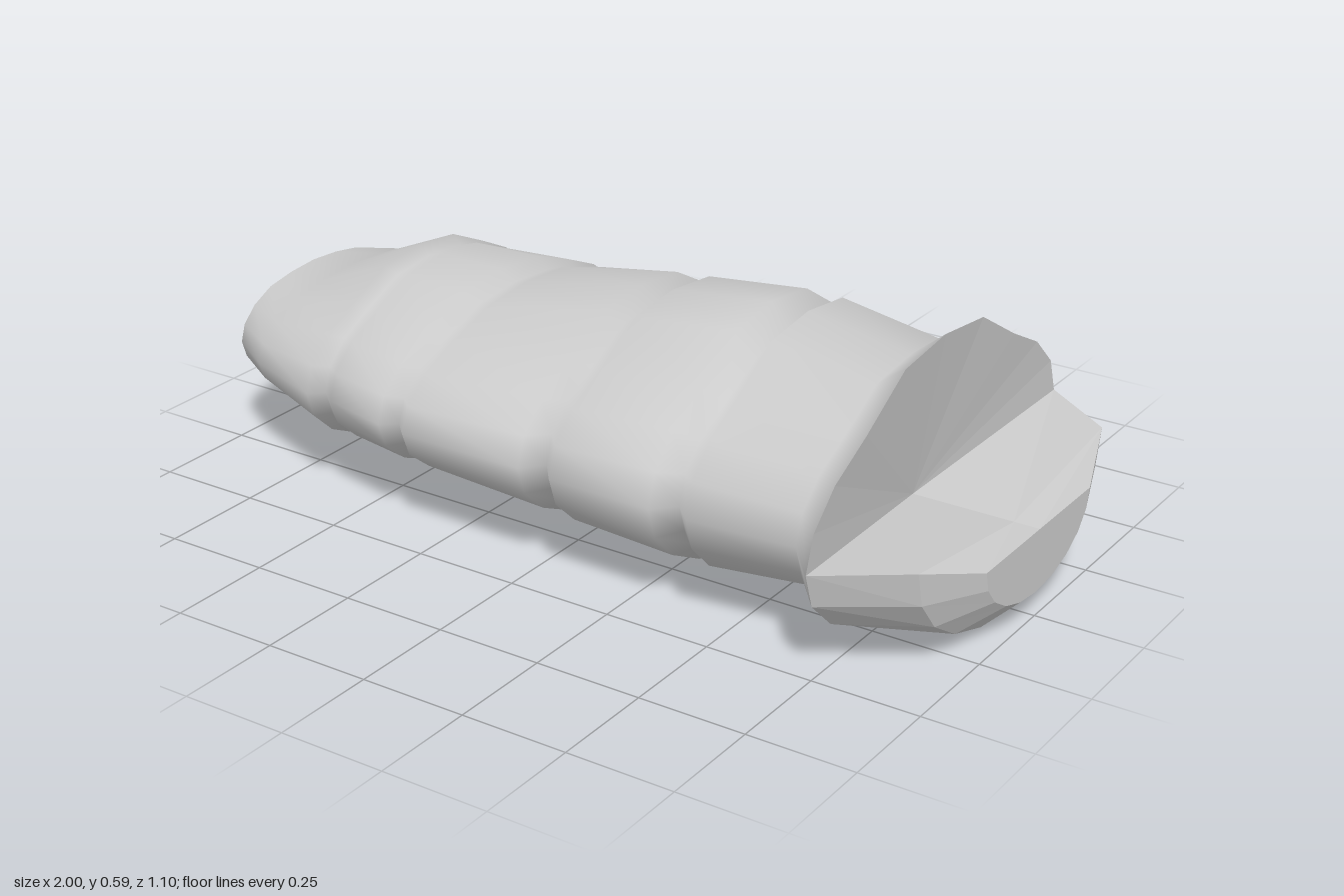
import * as THREE from 'three';

const SIDES = 20;
const MID = 0.265; // height of the widest line

// Body sections: x, half width, bottom, top
const SECTIONS = [
  [-0.96, 0.27, 0.135, 0.388], [-0.84, 0.345, 0.125, 0.402],
  [-0.63, 0.42, 0.065, 0.495], [-0.6, 0.39, 0.08, 0.475], [-0.56, 0.42, 0.07, 0.487],
  [-0.39, 0.46, 0.07, 0.485], [-0.355, 0.43, 0.09, 0.46], [-0.315, 0.47, 0.075, 0.472],
  [0, 0.47, 0.045, 0.532], [0.04, 0.42, 0.06, 0.503], [0.085, 0.475, 0.04, 0.54],
  [0.34, 0.478, 0.02, 0.568], [0.385, 0.43, 0.055, 0.508], [0.43, 0.475, 0.02, 0.567],
  [0.68, 0.455, 0.05, 0.525], [0.76, 0.55, 0.003, 0.59],
];

// Point on an ellipse; step 0 is the top, rising steps go towards +z and down
function ringPoint(x, halfWidth, midY, height, step) {
  const a = (step / SIDES) * Math.PI * 2;
  return [x, midY + height * Math.cos(a), halfWidth * Math.sin(a)];
}

// Elliptical section with a raised ridge along the back
function bodyRing([x, halfWidth, bottom, top]) {
  const ridge = top - (2 * MID - bottom);
  return Array.from({ length: SIDES }, (_, j) => {
    const p = ringPoint(x, halfWidth, MID, MID - bottom, j);
    p[1] += ridge * ([1, 0.9, 0.06][Math.min(j, SIDES - j)] ?? 0);
    return p;
  });
}

// Half-ellipse bowl section closed by a centre point
function lipRing(x, halfWidth, rimY, height, centreX) {
  const ring = [[centreX, 0.207, 0]];
  for (let j = SIDES / 4; j <= (SIDES * 3) / 4; j++) ring.push(ringPoint(x, halfWidth, rimY, height, j));
  return ring;
}

function toGeometry(points, index) {
  const g = new THREE.BufferGeometry();
  g.setAttribute('position', new THREE.Float32BufferAttribute(points.flat(), 3));
  g.setIndex(index);
  g.computeVertexNormals();
  return g;
}

// Skin over closed rings ordered along +x
function loft(rings) {
  const n = rings[0].length, index = [];
  for (let i = 0; i < rings.length - 1; i++) {
    for (let j = 0; j < n; j++) {
      const a = i * n + j, b = i * n + ((j + 1) % n);
      index.push(a, b, b + n, a, b + n, a + n);
    }
  }
  return toGeometry(rings.flat(), index);
}

// Triangle fan; faces +x for points running in ring order
function fan(centre, points) {
  const index = [];
  for (let j = 1; j < points.length; j++) index.push(0, j, j + 1);
  return toGeometry([centre, ...points], index);
}

export function createModel() {
  const model = new THREE.Group();
  const smooth = new THREE.MeshStandardMaterial({ color: 0xcccccc, side: THREE.DoubleSide });
  const faceted = smooth.clone();
  faceted.flatShading = true;

  function add(name, geometry, material) {
    const mesh = new THREE.Mesh(geometry, material);
    mesh.name = name;
    model.add(mesh);
  }

  // Grooved body
  const rings = SECTIONS.map(bodyRing);
  add('body', loft(rings), smooth);

  // Shallow pointed tail cap
  const tail = [...rings[0], rings[0][0]].reverse();
  add('tailCap', fan([-1, 0.2, 0], tail), faceted);

  // Upper wall inside the flared mouth
  const mouth = rings[rings.length - 1], q = SIDES / 4;
  const upper = [...mouth.slice(SIDES - q), ...mouth.slice(0, q + 1)];
  add('mouthWall', fan([0.7, 0.207, 0], upper), faceted);

  // Scooped lower lip and its blunt tip
  const lip = [
    lipRing(0.76, 0.55, MID, MID - 0.003, 0.7),
    lipRing(0.94, 0.42, MID, MID - 0.003, 0.94),
    lipRing(1, 0.24, 0.207, 0.147, 1),
  ];
  add('lowerLip', loft(lip), faceted);
  add('lipTip', fan(lip[2][0], lip[2].slice(1)), faceted);

  return model;
}
